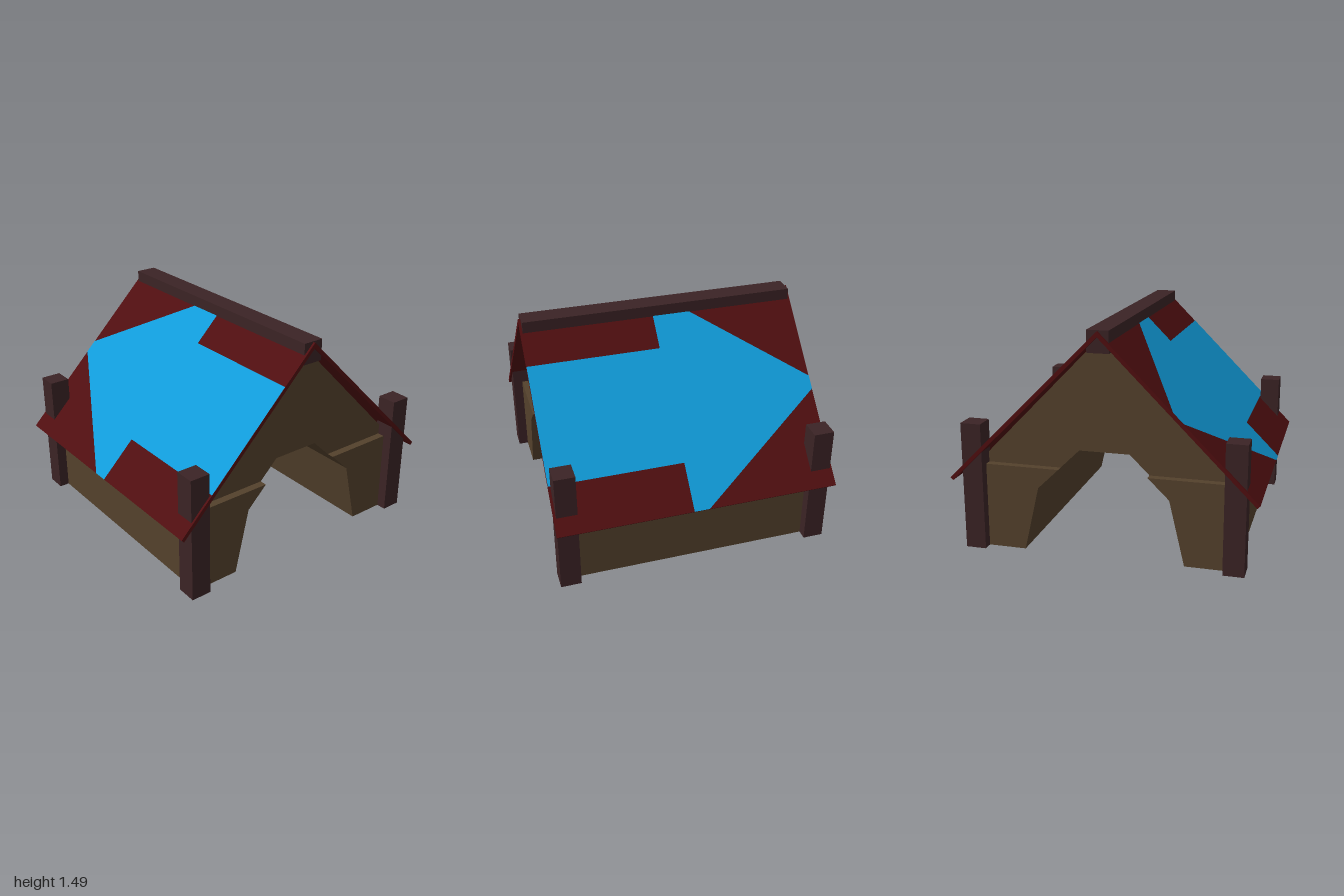
import * as THREE from 'three';

const mat = (name, color) => {
  const m = new THREE.MeshStandardMaterial({ color });
  m.name = name;
  return m;
};

export function createModel() {
  const group = new THREE.Group();
  const wall = mat('wall brown', 0x54412c);
  const timber = mat('dark timber', 0x3b2325);
  const roofRed = mat('roof red', 0x500e10);
  const arrowBlue = mat('arrow blue', 0x109bd9);

  const add = (name, geometry, material, parent = group, x = 0, y = 0, z = 0) => {
    const mesh = new THREE.Mesh(geometry, material);
    mesh.name = name;
    mesh.position.set(x, y, z);
    parent.add(mesh);
    return mesh;
  };

  // Extrudes a (z, y) outline along x, centred on x = 0
  const extrudeAlongX = (points, length) => {
    const shape = new THREE.Shape(points.map(([z, y]) => new THREE.Vector2(z, y)));
    const g = new THREE.ExtrudeGeometry(shape, { depth: length, bevelEnabled: false });
    g.translate(0, 0, -length / 2);
    g.rotateY(-Math.PI / 2);
    return g;
  };

  // Lower side walls, one on each side of the passage
  const ledge = 0.565;
  for (const s of [1, -1]) {
    add(s > 0 ? 'frontWall' : 'backWall', extrudeAlongX(
      [[0.53, 0], [0.85, 0], [0.85, ledge], [0.292, ledge], [0.43, 0.43]].map(([z, y]) => [z * s, y]),
      1.7), wall);
  }

  // Upper gable block, set back a little above the ledge
  add('gable', extrudeAlongX(
    [[0.292, ledge], [0.85, ledge], [0, 1.44], [-0.85, ledge], [-0.292, ledge], [-0.165, 0.69], [0.165, 0.69]],
    1.6), wall);

  // Corner posts that pass through the roof
  const postGeometry = new THREE.BoxGeometry(0.135, 0.847, 0.135);
  for (const x of [-0.848, 0.848]) {
    for (const z of [-0.85, 0.85]) add('cornerPost', postGeometry, timber, group, x, 0.4235, z);
  }

  // Ridge beam
  add('ridgeBeam', new THREE.BoxGeometry(1.83, 0.14, 0.14), timber, group, 0, 1.415, 0);

  // Roof slopes, each with a painted arrow pointing to -x
  const halfX = 0.93;
  const slope = Math.SQRT2;
  const arrow = [
    [-halfX, 0.465], [-0.075, 0], [0.05, 0], [0.05, 0.228], [halfX, 0.228],
    [halfX, 0.775], [0.05, 0.775], [0.05, 1], [-0.05, 1], [-halfX, 0.53],
  ];
  for (const s of [1, -1]) {
    const side = new THREE.Group();
    side.name = s > 0 ? 'frontRoof' : 'backRoof';
    side.rotation.set(-Math.PI / 4, s > 0 ? 0 : Math.PI, 0, 'YXZ');
    side.position.y = 1.48;
    group.add(side);
    add('roofPanel', new THREE.BoxGeometry(halfX * 2, slope, 0.025), roofRed, side, 0, -slope / 2, -0.0125);
    const shape = new THREE.Shape(arrow.map(([x, d]) => new THREE.Vector2(x * s, -d * slope)));
    add('paintedArrow', new THREE.ShapeGeometry(shape), arrowBlue, side, 0, 0, 0.002);
  }

  return group;
}
